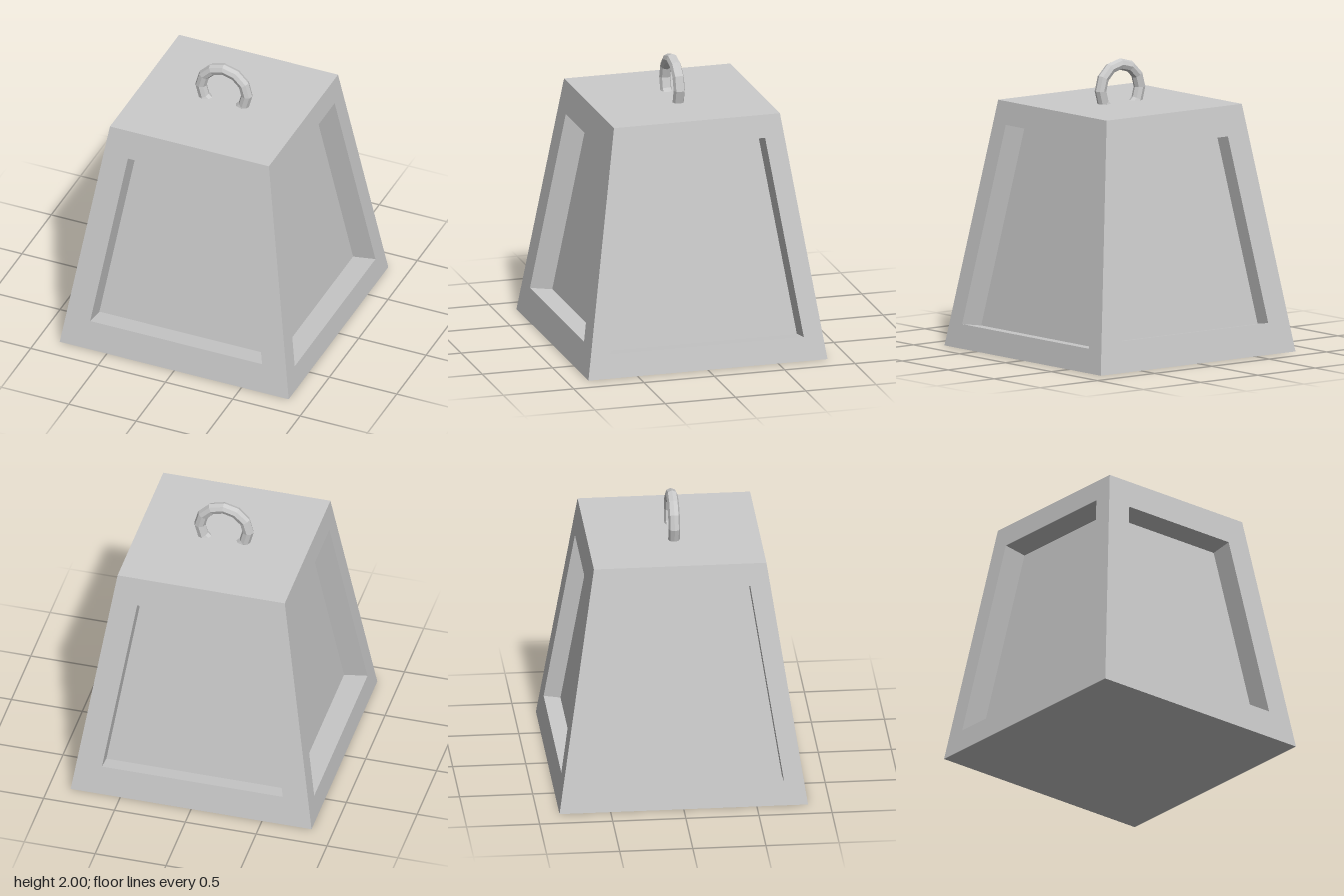
import * as THREE from 'three';

const BASE = 0.85, TOP = 0.59, HEIGHT = 1.7;
const TILT = Math.atan((BASE - TOP) / HEIGHT);
const SLANT = Math.hypot(HEIGHT, BASE - TOP);

const material = new THREE.MeshStandardMaterial({ color: 0xcccccc, flatShading: true });

function addMesh(parent, name, geometry) {
  const mesh = new THREE.Mesh(geometry, material);
  mesh.name = name;
  parent.add(mesh);
  return mesh;
}

// Corners of a symmetric trapezoid, counter-clockwise
function trapezoid(bottomHalf, topHalf, low, high) {
  return [[-bottomHalf, low], [bottomHalf, low], [topHalf, high], [-topHalf, high]]
    .map(([x, y]) => new THREE.Vector2(x, y));
}

// Four inward-facing walls running from the opening back to the panel
function recessWalls(corners, depth) {
  const positions = [];
  corners.forEach((a, i) => {
    const b = corners[(i + 1) % corners.length];
    positions.push(
      a.x, a.y, 0, b.x, b.y, 0, b.x, b.y, -depth,
      a.x, a.y, 0, b.x, b.y, -depth, a.x, a.y, -depth);
  });
  const geometry = new THREE.BufferGeometry();
  geometry.setAttribute('position', new THREE.Float32BufferAttribute(positions, 3));
  geometry.computeVertexNormals();
  return geometry;
}

// One sloping side: frame with an opening, recess walls and sunken panel
function createSide(name, { bottomHalf, topHalf, low, high, depth }) {
  const side = new THREE.Group();
  side.name = name;
  const stretch = SLANT / HEIGHT;
  const opening = trapezoid(bottomHalf, topHalf, low * stretch, high * stretch);
  const frame = new THREE.Shape(trapezoid(BASE, TOP, 0, SLANT));
  frame.holes.push(new THREE.Path(opening));
  addMesh(side, 'frame', new THREE.ShapeGeometry(frame));
  addMesh(side, 'recessWalls', recessWalls(opening, depth));
  addMesh(side, 'sunkenPanel', new THREE.ShapeGeometry(new THREE.Shape(opening))).position.z = -depth;
  side.position.z = BASE;
  side.rotation.x = -TILT;
  return side;
}

export function createModel() {
  const model = new THREE.Group();
  model.name = 'weight';

  // Four sides, turned around the vertical axis
  const narrow = { bottomHalf: 0.638, topHalf: 0.443, low: 0.212, high: 1.494 };
  const wide = { bottomHalf: 0.689, topHalf: 0.477, low: 0.164, high: 1.542, depth: 0.168 };
  const sides = [
    ['frontSide', { ...narrow, depth: 0.16 }],
    ['leftSide', wide],
    ['backSide', { ...narrow, depth: 0.117 }],
    ['rightSide', wide],
  ];
  sides.forEach(([name, panel], i) => {
    const turn = new THREE.Group();
    turn.name = name + 'Turn';
    turn.rotation.y = i * Math.PI / 2;
    turn.add(createSide(name, panel));
    model.add(turn);
  });

  // Flat top and underside
  const lid = addMesh(model, 'topFace', new THREE.PlaneGeometry(2 * TOP, 2 * TOP));
  lid.rotation.x = -Math.PI / 2;
  lid.position.y = HEIGHT;
  const base = addMesh(model, 'underside', new THREE.PlaneGeometry(2 * BASE, 2 * BASE));
  base.rotation.x = Math.PI / 2;

  // Faceted ring, partly sunk into the top
  const ring = addMesh(model, 'ring', new THREE.TorusGeometry(0.17, 0.04, 8, 12));
  ring.position.y = 1.79;

  return model;
}
